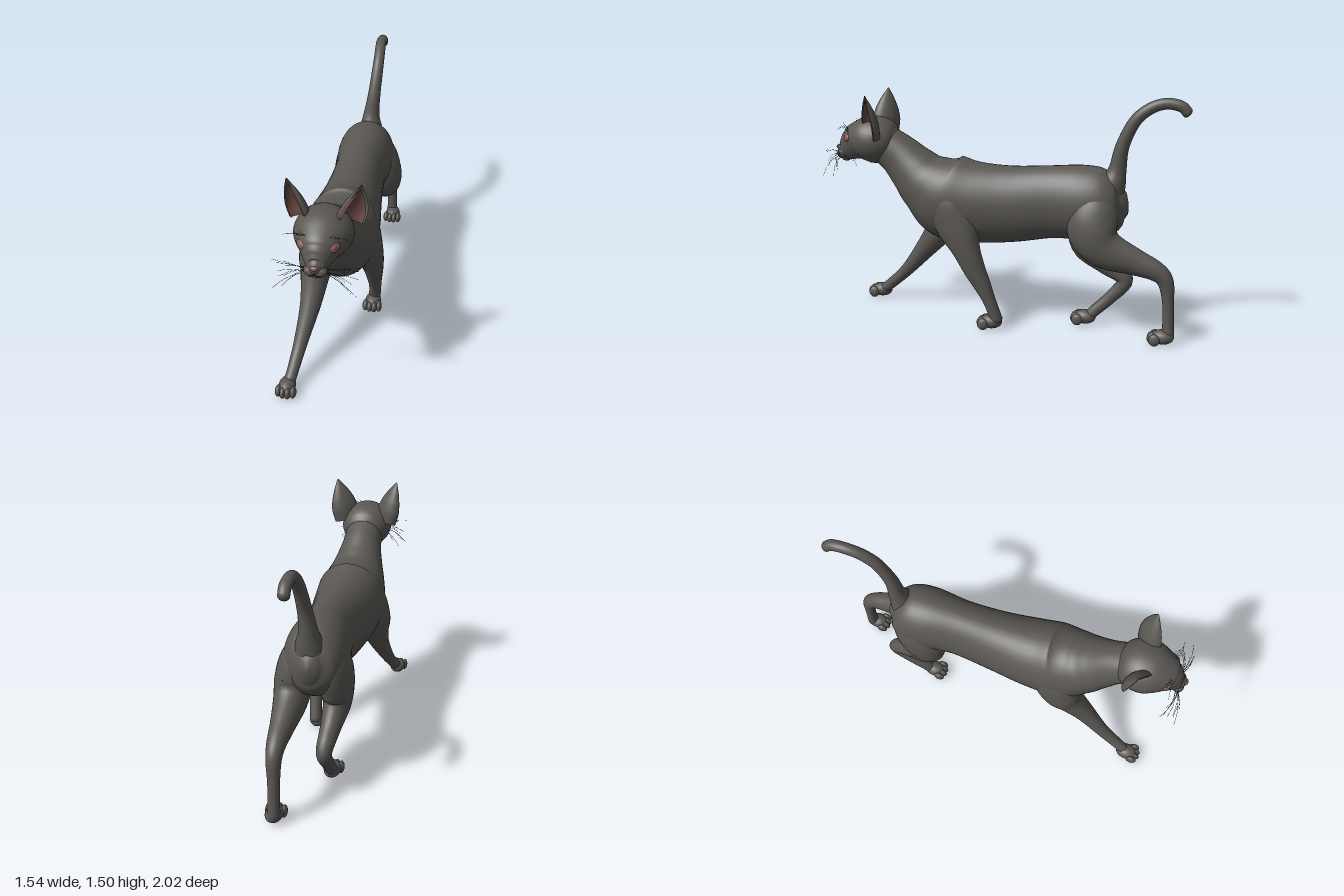
import * as THREE from 'three';

const mat = (name, color, side = THREE.FrontSide) => {
  const m = new THREE.MeshStandardMaterial({ color, side });
  m.name = name;
  return m;
};

function surface(pos, idx) {
  const g = new THREE.BufferGeometry();
  g.setAttribute('position', new THREE.Float32BufferAttribute(pos, 3));
  g.setIndex(idx);
  g.computeVertexNormals();
  return g;
}

// Smooth skin through rows of [x, y, z, halfWidth, halfHeight]; ends are closed to a point.
function loft(rows, steps = 40, sides = 28) {
  const path = new THREE.CatmullRomCurve3(rows.map(r => new THREE.Vector3(r[0], r[1], r[2])), false, 'catmullrom', 0.5);
  const size = new THREE.CatmullRomCurve3(rows.map(r => new THREE.Vector3(r[3], r[4] ?? r[3], 0)), false, 'catmullrom', 0.5);
  const pos = [], idx = [];
  const rings = steps + 5;
  for (let i = 0; i < rings; i++) {
    // the two outer rings at each end round the tip off
    const k = THREE.MathUtils.clamp(i - 2, 0, steps);
    const over = i < 2 ? i - 2 : Math.max(0, i - 2 - steps);
    const p = path.getPoint(k / steps), q = size.getPoint(k / steps);
    const T = path.getTangent(k / steps);
    const side = new THREE.Vector3(1, 0, 0).addScaledVector(T, -T.x).normalize();
    const up = T.clone().cross(side);
    const shrink = [1, 0.7, 0][Math.abs(over)];
    p.addScaledVector(T, Math.sign(over) * [0, 0.35, 0.5][Math.abs(over)] * Math.min(q.x, q.y));
    for (let j = 0; j < sides; j++) {
      const a = (j / sides) * Math.PI * 2;
      const v = p.clone().addScaledVector(side, q.x * shrink * Math.cos(a)).addScaledVector(up, q.y * shrink * Math.sin(a));
      pos.push(v.x, v.y, v.z);
    }
  }
  for (let i = 0; i < rings - 1; i++) for (let j = 0; j < sides; j++) {
    const a = i * sides + j, b = i * sides + (j + 1) % sides;
    idx.push(a, b, a + sides, b, b + sides, a + sides);
  }
  return surface(pos, idx);
}

// Concave leaf-shaped ear shell, opening toward +z
function earShell(scale, height, inset) {
  const width = new THREE.CatmullRomCurve3([0.09, 0.095, 0.08, 0.048, 0.004].map(w => new THREE.Vector3(w, 0, 0)));
  const nu = 16, nv = 18, pos = [], idx = [];
  for (let i = 0; i <= nv; i++) for (let j = 0; j <= nu; j++) {
    const v = i / nv, a = (j / nu - 0.5) * Math.PI * 1.1;
    const w = width.getPoint(v).x * scale;
    pos.push(w * Math.sin(a), height * v, inset - w * 0.65 * Math.cos(a));
  }
  for (let i = 0; i < nv; i++) for (let j = 0; j < nu; j++) {
    const a = i * (nu + 1) + j, b = a + nu + 1;
    idx.push(a, a + 1, b, a + 1, b + 1, b);
  }
  return surface(pos, idx);
}

export function createModel() {
  const model = new THREE.Group();
  model.name = 'cat';
  const fur = mat('charcoal fur', 0x5a5753);
  const furShell = mat('ear fur', 0x5a5753, THREE.DoubleSide);
  const earPink = mat('inner ear', 0x6a4b43, THREE.DoubleSide);
  const rose = mat('rose skin', 0x8c5a4e);
  const iris = mat('iris', 0x774f45);
  const black = mat('whisker black', 0x1c1b1a);

  const add = (name, geo, material, parent = model) => {
    const m = new THREE.Mesh(geo, material);
    m.name = name;
    parent.add(m);
    return m;
  };
  const ball = new THREE.SphereGeometry(1, 24, 16);
  const blob = (name, material, p, s, parent = model) => {
    const m = add(name, ball, material, parent);
    m.position.set(...p);
    m.scale.set(...s);
    return m;
  };

  // Trunk and neck in one skin, then head and tail
  add('body', loft([
    [0, 0.84, -0.8, 0.07, 0.1], [0, 0.835, -0.76, 0.14, 0.17], [0, 0.83, -0.68, 0.178, 0.22],
    [0, 0.83, -0.55, 0.187, 0.235], [0, 0.82, -0.35, 0.167, 0.23], [0, 0.79, -0.1, 0.185, 0.245],
    [0, 0.785, 0.13, 0.213, 0.262], [0, 0.815, 0.32, 0.222, 0.275], [0, 0.895, 0.46, 0.19, 0.205],
    [0, 0.975, 0.55, 0.158, 0.165], [0, 1.06, 0.64, 0.13, 0.14], [0, 1.125, 0.73, 0.122, 0.125],
  ], 80, 40), fur);
  add('head', loft([
    [0, 1.15, 0.65, 0.07, 0.07], [0, 1.15, 0.69, 0.125, 0.115], [0, 1.155, 0.76, 0.16, 0.147],
    [0, 1.16, 0.84, 0.164, 0.15], [0, 1.145, 0.915, 0.133, 0.128], [0, 1.122, 0.96, 0.1, 0.107],
    [0, 1.1, 1.0, 0.073, 0.086], [0, 1.088, 1.035, 0.052, 0.062], [0, 1.088, 1.055, 0.034, 0.038],
  ], 48, 40), fur);
  add('tail', loft([
    [0.005, 0.9, -0.71, 0.1], [0.007, 0.98, -0.74, 0.077], [0.007, 1.06, -0.762, 0.054], [0.02, 1.2, -0.787, 0.042],
    [0.03, 1.35, -0.854, 0.037], [0.03, 1.43, -0.937, 0.035], [0.024, 1.466, -1.03, 0.034],
    [0.023, 1.455, -1.12, 0.034], [0.02, 1.415, -1.165, 0.032],
  ]), fur);

  // Legs in mid stride, each with its paw position
  const legs = {
    frontRight: {
      rows: [[-0.06, 0.97, 0.28, 0.07, 0.1], [-0.105, 0.82, 0.29, 0.118, 0.15], [-0.142, 0.66, 0.355, 0.112, 0.135],
        [-0.145, 0.55, 0.42, 0.09, 0.1], [-0.154, 0.4, 0.535, 0.064, 0.068], [-0.186, 0.22, 0.687, 0.043],
        [-0.21, 0.1, 0.816, 0.036], [-0.222, 0.055, 0.87, 0.036]],
      paw: [-0.228, 0.888],
    },
    frontLeft: {
      rows: [[0.06, 0.97, 0.3, 0.07, 0.1], [0.105, 0.82, 0.28, 0.116, 0.15], [0.14, 0.66, 0.215, 0.1, 0.14],
        [0.165, 0.52, 0.155, 0.077, 0.092], [0.172, 0.4, 0.102, 0.061, 0.072], [0.17, 0.3, 0.052, 0.05, 0.057],
        [0.168, 0.19, 0.002, 0.041], [0.16, 0.06, -0.045, 0.039]],
      paw: [0.155, -0.005],
    },
    rearRight: {
      rows: [[-0.05, 0.95, -0.6, 0.07, 0.1], [-0.092, 0.81, -0.62, 0.105, 0.15], [-0.112, 0.67, -0.59, 0.104, 0.155],
        [-0.115, 0.53, -0.58, 0.085, 0.115], [-0.102, 0.42, -0.69, 0.062, 0.075], [-0.092, 0.32, -0.82, 0.047, 0.052],
        [-0.092, 0.19, -0.73, 0.038, 0.04], [-0.086, 0.09, -0.63, 0.037], [-0.085, 0.055, -0.6, 0.036]],
      paw: [-0.08, -0.57],
    },
    rearLeft: {
      rows: [[0.05, 0.95, -0.6, 0.07, 0.1], [0.097, 0.81, -0.63, 0.11, 0.15], [0.125, 0.68, -0.64, 0.115, 0.155],
        [0.13, 0.58, -0.72, 0.1, 0.125], [0.128, 0.515, -0.895, 0.072, 0.085], [0.128, 0.467, -1.025, 0.055, 0.063],
        [0.126, 0.405, -1.088, 0.045, 0.05], [0.123, 0.28, -1.11, 0.036], [0.124, 0.15, -1.117, 0.035], [0.126, 0.05, -1.12, 0.038]],
      paw: [0.134, -1.085],
    },
  };
  for (const [name, { rows, paw }] of Object.entries(legs)) {
    add(name + 'Leg', loft(rows, 48), fur);
    const foot = new THREE.Group();
    foot.name = name + 'Paw';
    foot.position.set(paw[0], 0, paw[1]);
    model.add(foot);
    blob('pad', fur, [0, 0.048, 0], [0.052, 0.046, 0.072], foot);
    for (const i of [-1.5, -0.5, 0.5, 1.5]) {
      blob('toe', fur, [i * 0.03, 0.038, 0.062 - Math.abs(i) * 0.012], [0.02, 0.038, 0.036], foot);
    }
  }

  // Mirrored face parts
  const tube = (name, pts, r, material) => add(name, new THREE.TubeGeometry(
    new THREE.CatmullRomCurve3(pts.map(p => new THREE.Vector3(...p))), 8, r, 4), material);
  for (const s of [1, -1]) {
    const side = s > 0 ? 'left' : 'right';
    const ear = new THREE.Group();
    ear.name = side + 'Ear';
    ear.position.set(s * 0.138, 1.2, 0.79);
    ear.rotation.set(0, s * 0.74, -s * 0.24, 'ZYX');
    model.add(ear);
    add('earBack', earShell(1, 0.275, 0), furShell, ear);
    add('earInside', earShell(0.84, 0.245, 0.002), earPink, ear);

    const eye = new THREE.Group();
    eye.name = side + 'Eye';
    eye.position.set(s * 0.086, 1.178, 0.968);
    eye.rotation.set(-0.4, s * 0.66, s * 0.1, 'YXZ');
    model.add(eye);
    blob('eyeRim', rose, [0, 0, 0], [0.038, 0.029, 0.021], eye);
    blob('iris', iris, [0, 0, 0.004], [0.025, 0.02, 0.019], eye);

    blob(side + 'MuzzlePad', fur, [s * 0.026, 1.064, 1.03], [0.04, 0.034, 0.038]);
    tube(side + 'MouthLine', [[0, 1.057, 1.066], [s * 0.022, 1.037, 1.06], [s * 0.05, 1.034, 1.03]], 0.002, black);

    // Muzzle whiskers fan outward and droop
    for (let i = 0; i < 10; i++) {
      const f = i / 9, len = 0.14 + 0.04 * Math.sin(i * 2.3);
      const x0 = s * (0.05 + 0.01 * (i % 2)), y0 = 1.05 + 0.03 * f, z0 = 1.025 + 0.015 * (i % 2);
      const z1 = 1.03 + 0.05 * Math.sin(i * 1.7);
      tube(side + 'Whisker', [[x0, y0, z0], [x0 + s * len * 0.55, y0 - 0.04 + 0.07 * f, (z0 + z1) / 2 + 0.012],
        [x0 + s * len, y0 - 0.12 + 0.16 * f, z1]], 0.001, black);
    }
    // Brow whiskers
    for (let i = 0; i < 4; i++) {
      const x = s * (0.055 + 0.018 * i);
      tube(side + 'BrowWhisker', [[x, 1.215, 0.945], [x + s * 0.02, 1.25, 0.98], [x + s * (0.04 + 0.012 * i), 1.275 - 0.01 * i, 0.99]], 0.001, black);
    }
  }
  blob('nose', rose, [0, 1.1, 1.066], [0.022, 0.015, 0.016]);
  blob('chin', fur, [0, 1.03, 1.015], [0.034, 0.022, 0.032]);

  // The cat walks diagonally across the frame
  model.rotation.y = -0.575;
  const root = new THREE.Group();
  root.name = 'walkingCat';
  root.add(model);
  return root;
}
